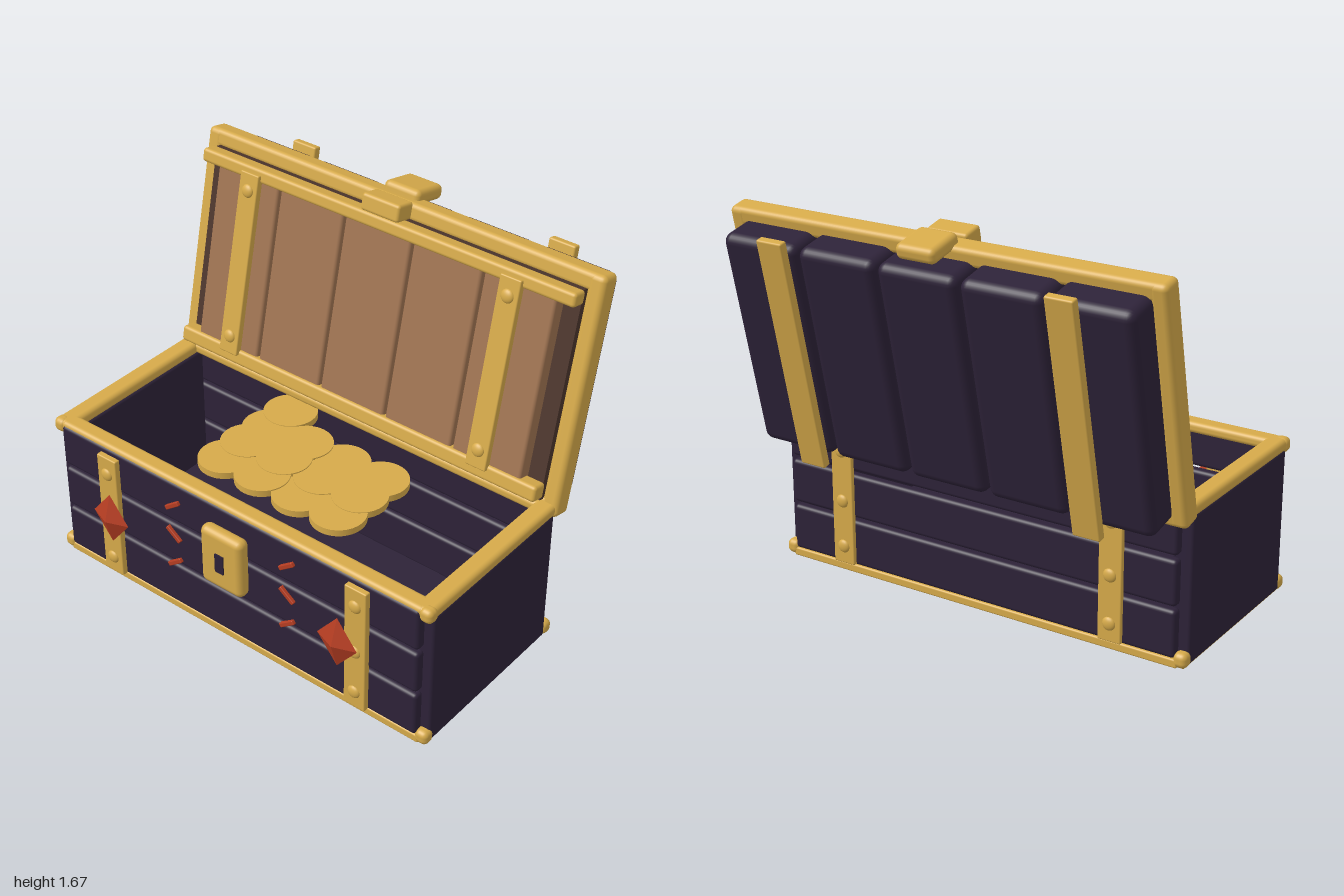
import * as THREE from 'three';
import { RoundedBoxGeometry } from 'three/addons/geometries/RoundedBoxGeometry.js';

const mat = (name, color) => {
  const m = new THREE.MeshStandardMaterial({ color });
  m.name = name;
  return m;
};

export function createModel() {
  const gold = mat('gold', 0xd6aa4a);
  const dark = mat('dark purple wood', 0x2d2238);
  const brown = mat('brown wood', 0xa07452);
  const darkBrown = mat('dark brown wood', 0x4c352c);
  const red = mat('red gem', 0xb53d22);

  const chest = new THREE.Group();
  chest.name = 'treasureChest';
  const base = new THREE.Group();
  base.name = 'base';
  const lid = new THREE.Group();
  lid.name = 'lid';
  chest.add(base, lid);

  // Rounded box given by its extents on each axis
  const box = (parent, name, material, [x0, x1], [y0, y1], [z0, z1], r = 0.012) => {
    const w = x1 - x0, h = y1 - y0, d = z1 - z0;
    const geo = r > 0
      ? new RoundedBoxGeometry(w, h, d, 3, Math.min(r, w / 2.01, h / 2.01, d / 2.01))
      : new THREE.BoxGeometry(w, h, d);
    const mesh = new THREE.Mesh(geo, material);
    mesh.name = name;
    mesh.position.set((x0 + x1) / 2, (y0 + y1) / 2, (z0 + z1) / 2);
    parent.add(mesh);
    return mesh;
  };
  // Extent mirrored to the left (+1) or right (-1)
  const side = (s, a, b) => (s > 0 ? [a, b] : [-b, -a]);

  // Domed rivet facing +z or -z
  const rivet = (parent, x, y, z, dir) => {
    const mesh = new THREE.Mesh(new THREE.SphereGeometry(0.03, 16, 8, 0, Math.PI * 2, 0, Math.PI / 2), gold);
    mesh.name = 'rivet';
    mesh.scale.y = 0.55;
    mesh.rotation.x = dir * Math.PI / 2;
    mesh.position.set(x, y, z);
    parent.add(mesh);
  };

  // ----- Base: floor, side walls, and three planks front and back
  box(base, 'floor', dark, [-0.91, 0.91], [0.01, 0.05], [-0.24, 0.555], 0);
  const plankRows = [[0.04, 0.247], [0.262, 0.46], [0.478, 0.675]];
  for (const row of plankRows) {
    box(base, 'frontPlank', dark, [-0.94, 0.94], row, [0.55, 0.6], 0.018);
    box(base, 'backPlank', dark, [-0.94, 0.94], row, [-0.286, -0.236], 0.018);
  }
  for (const s of [1, -1]) {
    box(base, 'sideWall', dark, side(s, 0.895, 0.985), [0.006, 0.645], [-0.24, 0.56], 0.015);
    box(base, 'topSideTrim', gold, side(s, 0.9, 0.988), [0.635, 0.69], [-0.28, 0.592], 0.022);
    box(base, 'bottomSideTrim', gold, side(s, 0.9, 0.978), [0, 0.035], [-0.27, 0.585], 0.008);
    // Corner caps
    for (const y of [0.004, 0.628])
      for (const z of [-0.286, 0.538])
        box(base, 'cornerCap', gold, side(s, 0.93, 0.992), [y, y + 0.064], [z, z + 0.06], 0.024);
    // Riveted straps
    const cx = s * 0.657;
    box(base, 'frontStrap', gold, [cx - 0.053, cx + 0.053], [0.045, 0.65], [0.595, 0.625], 0.006);
    box(base, 'backStrap', gold, [cx - 0.053, cx + 0.053], [0.045, 0.62], [-0.303, -0.28], 0.006);
    for (const y of [0.125, 0.335, 0.565]) {
      rivet(base, cx, y, 0.623, 1);
      rivet(base, cx, y, -0.301, -1);
    }
  }
  for (const [z0, z1] of [[0.512, 0.593], [-0.282, -0.2]]) {
    box(base, 'topTrim', gold, [-0.95, 0.95], [0.64, 0.69], [z0, z1], 0.02);
    box(base, 'bottomTrim', gold, [-0.95, 0.95], [0, 0.038], [z0, z1], 0.008);
  }

  // Lock plate and keyhole
  box(base, 'lockPlate', gold, [-0.11, 0.11], [0.315, 0.6], [0.598, 0.664], 0.03);
  box(base, 'keyhole', dark, [-0.022, 0.022], [0.41, 0.5], [0.662, 0.67], 0);

  // Diamond eyes
  for (const s of [1, -1]) {
    const eye = new THREE.Mesh(new THREE.OctahedronGeometry(1), red);
    eye.name = 'gemEye';
    eye.scale.set(0.098, 0.122, 0.037);
    eye.position.set(s * 0.605, 0.388, 0.668);
    base.add(eye);
    // Small slanted marks between eye and lock
    [[0.568, 1], [0.418, -1], [0.27, 1]].forEach(([y, tilt]) => {
      const mark = box(base, 'whiskerMark', red, [-0.043, 0.043], [-0.01, 0.01], [0.595, 0.615], 0.004);
      mark.position.x = s * 0.303;
      mark.position.y = y;
      mark.rotation.z = tilt * 0.64;
    });
  }

  // Coins in overlapping rows
  const coinGeo = new THREE.CylinderGeometry(0.118, 0.118, 0.03, 32);
  [-0.3, -0.1, 0.1, 0.3].forEach((x, col) => {
    for (let i = 0; i < (col === 0 ? 4 : 3); i++) {
      const coin = new THREE.Mesh(coinGeo, gold);
      coin.name = 'coin';
      coin.position.set(x, 0.615 + (col % 2) * 0.005 + (i % 2) * 0.003, 0.28 - i * 0.14);
      base.add(coin);
    }
  });

  // ----- Lid: built upright from its hinge, then leaned back
  lid.position.set(0, 0.631, -0.227);
  lid.rotation.x = -0.215;

  // Outer frame
  for (const s of [1, -1])
    box(lid, 'frameSide', gold, side(s, 0.92, 0.998), [0, 1.04], [-0.095, 0.005], 0.025);
  box(lid, 'frameBottom', gold, [-0.97, 0.97], [0, 0.078], [-0.093, 0.003], 0.022);
  box(lid, 'frameTop', gold, [-0.97, 0.97], [0.962, 1.04], [-0.093, 0.003], 0.022);

  // Outer padded panels, lining and inner boards
  box(lid, 'lining', darkBrown, [-0.925, 0.925], [0.065, 0.972], [-0.03, 0.024], 0);
  for (let i = -2; i <= 2; i++) {
    const px = i * 0.377, bx = i * 0.343;
    box(lid, 'outerPanel', dark, [px - 0.182, px + 0.182], [0.03, 0.99], [-0.235, -0.02], 0.04);
    box(lid, 'innerBoard', brown, [bx - 0.166, bx + 0.166], [0.11, 0.95], [0.015, 0.086], 0.014);
  }

  // Inner rails
  box(lid, 'innerTopRail', gold, [-0.937, 0.937], [0.915, 0.975], [0.025, 0.1], 0.015);
  box(lid, 'innerBottomRail', gold, [-0.937, 0.937], [0.08, 0.15], [0.025, 0.1], 0.015);

  // Lid straps
  for (const s of [1, -1]) {
    const cx = s * 0.657;
    box(lid, 'innerStrap', gold, [cx - 0.049, cx + 0.049], [0.127, 0.95], [0.085, 0.117], 0.006);
    rivet(lid, cx, 0.872, 0.115, 1);
    rivet(lid, cx, 0.207, 0.115, 1);
    box(lid, 'outerStrap', gold, [cx - 0.062, cx + 0.062], [-0.012, 1.02], [-0.27, -0.232], 0.008);
  }

  // Clasp
  box(lid, 'claspTongue', gold, [-0.095, 0.095], [0.972, 1.047], [0, 0.098], 0.014);
  box(lid, 'claspHinge', gold, [-0.09, 0.09], [1.015, 1.08], [-0.212, -0.033], 0.025);

  return chest;
}
